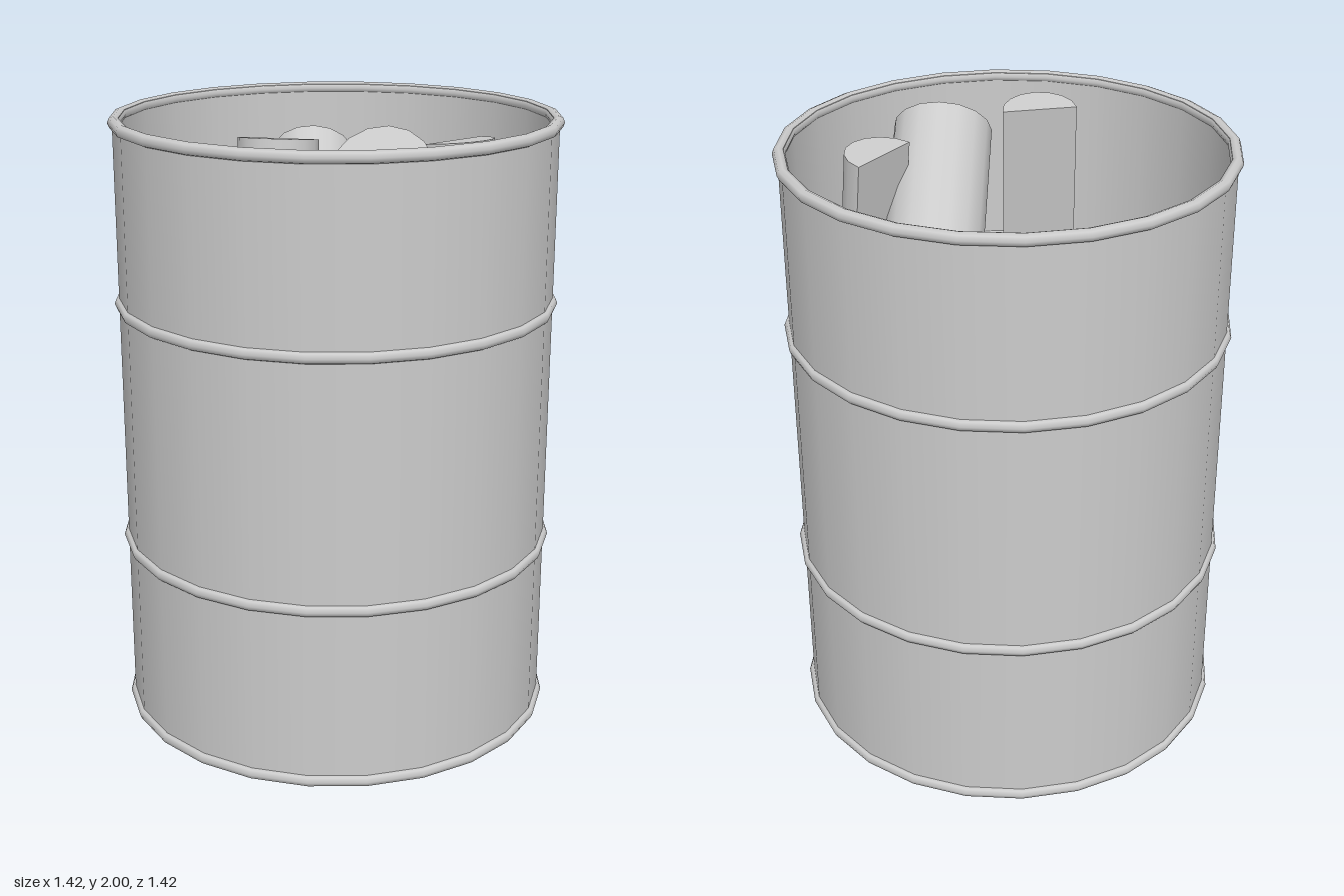
import * as THREE from 'three';
import { mergeGeometries } from 'three/addons/utils/BufferGeometryUtils.js';

const SIDES = 24;
const material = new THREE.MeshStandardMaterial({ color: 0xcccccc });
const thin = new THREE.MeshStandardMaterial({ color: 0xcccccc, side: THREE.DoubleSide });

function add(parent, name, geometry, mat = material) {
  const mesh = new THREE.Mesh(geometry, mat);
  mesh.name = name;
  parent.add(mesh);
  return mesh;
}

// Half-round split log from the middle of its flat side at one end to the other;
// bulge is the rough direction of the round side.
function splitLog(name, top, bottom, radius, bulge) {
  const a = new THREE.Vector3(...top), b = new THREE.Vector3(...bottom);
  const axis = a.clone().sub(b);
  const length = axis.length();
  axis.normalize();
  const out = new THREE.Vector3(...bulge);
  out.addScaledVector(axis, -out.dot(axis)).normalize();
  const side = new THREE.Vector3().crossVectors(axis, out);

  const round = new THREE.CylinderGeometry(radius, radius, length, 8, 1, false, -Math.PI / 2, Math.PI);
  const flat = new THREE.PlaneGeometry(2 * radius, length).rotateY(Math.PI);
  const geometry = mergeGeometries([round, flat]);
  geometry.applyMatrix4(new THREE.Matrix4().makeBasis(side, axis, out).setPosition(a.add(b).multiplyScalar(0.5)));
  const mesh = new THREE.Mesh(geometry, material);
  mesh.name = name;
  return mesh;
}

export function createModel() {
  const model = new THREE.Group();
  model.name = 'barrelOfFirewood';

  // Drum: outer skin, inner skin, top lip, base and inside floor
  const drum = new THREE.Group();
  drum.name = 'drum';
  model.add(drum);
  const outer = new THREE.CylinderGeometry(0.695, 0.695, 1.965, SIDES, 1, true).translate(0, 0.9865, 0);
  add(drum, 'outerWall', outer);
  const inner = new THREE.CylinderGeometry(0.675, 0.675, 1.95, SIDES, 1, true).translate(0, 1.005, 0);
  add(drum, 'innerWall', inner, thin);
  add(drum, 'topLip', new THREE.RingGeometry(0.675, 0.695, SIDES).rotateX(-Math.PI / 2).translate(0, 1.98, 0), thin);
  add(drum, 'base', new THREE.CircleGeometry(0.7, SIDES).rotateX(Math.PI / 2).translate(0, 0.003, 0));
  add(drum, 'floor', new THREE.CircleGeometry(0.675, SIDES).rotateX(-Math.PI / 2).translate(0, 0.03, 0));

  // Rolled hoops at the rims and around the body
  for (const y of [0.02, 0.6, 1.393, 1.966]) {
    const hoop = new THREE.TorusGeometry(0.69, 0.02, 8, SIDES).rotateX(Math.PI / 2);
    add(drum, 'hoop', hoop).position.y = y;
  }

  // Firewood leaning in the drum
  const wood = new THREE.Group();
  wood.name = 'firewood';
  model.add(wood);
  wood.add(
    splitLog('thickLog', [0.29, 1.874, 0.37], [0.175, 1.16, -0.535], 0.16, [0, 1, 0]),
    splitLog('diagonalLog', [-0.29, 1.75, -0.49], [0.07, 1.06, 0.37], 0.145, [0.05, 1, 0]),
    splitLog('backLog', [0.56, 1.62, -0.235], [-0.34, 1.52, -0.48], 0.13, [-0.15, 0.8, 0.6]),
    splitLog('leftLog', [-0.455, 1.68, -0.24], [-0.41, 0.63, 0.31], 0.13, [-0.2, 0.4, 0.9]),
    splitLog('frontLog', [-0.03, 1.96, 0.375], [0, 0.85, 0.54], 0.12, [0.35, 0, 1]),
    splitLog('rightLog', [0.385, 1.92, -0.01], [0.49, 0.8, 0.06], 0.125, [0.91, 0, 0.4]),
    splitLog('lyingLog', [-0.25, 0.75, 0.46], [0.56, 0.7, 0.14], 0.14, [0, 1, 0]),
  );
  return model;
}
